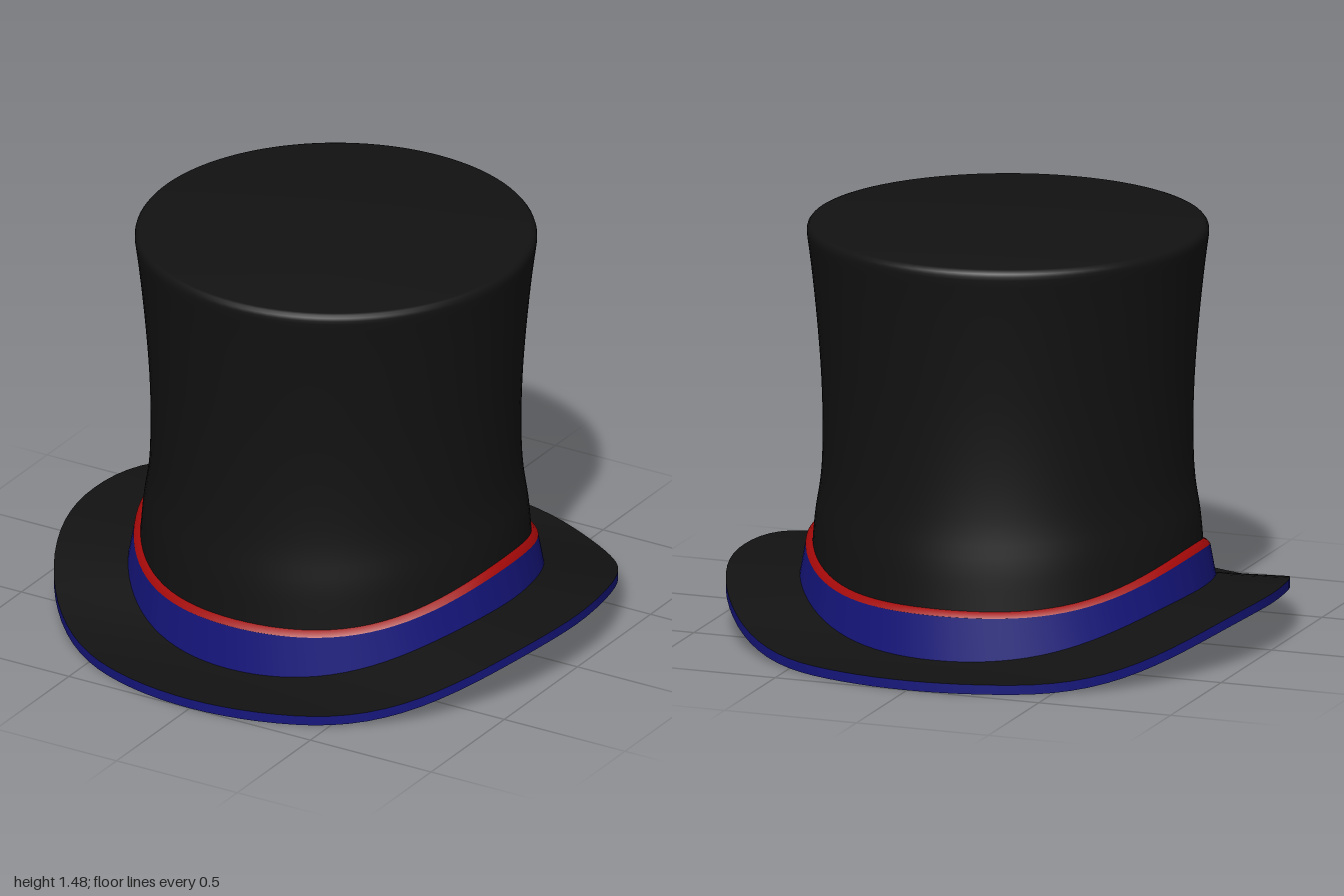
import * as THREE from 'three';
import { toCreasedNormals } from 'three/addons/utils/BufferGeometryUtils.js';

const SEGMENTS = 96;
const BRIM_T = 0.035;
const HOLE_R = 0.625;

const black = new THREE.MeshStandardMaterial({ color: 0x121212 });
const blue = new THREE.MeshStandardMaterial({ color: 0x15157c });
const red = new THREE.MeshStandardMaterial({ color: 0xa00808 });

// How far the brim curls up at the two sides
function brimLift(r, z) {
  const reach = THREE.MathUtils.mapLinear(r, 0.72, 1, 0.84, 0.93);
  const t = Math.min(1, Math.abs(z) / reach);
  return 0.17 * Math.pow(1 - Math.pow(t, 2.6), 2.2);
}

// The upper edge of the band rises a little less
function bandLift(r, x) {
  return 0.125 * Math.pow(Math.abs(x) / r, 4);
}

// Brim curl that fades out going up the crown
function crownLift(r, x, y, z) {
  return brimLift(r, z) * Math.max(0, 1 - y / 0.6);
}

// Revolve a profile of [radius, height], then raise each vertex by a rule
function bentLathe(name, profile, material, lift) {
  const points = profile.map(([r, y]) => new THREE.Vector2(r, y));
  const lathe = new THREE.LatheGeometry(points, SEGMENTS);
  const pos = lathe.attributes.position;
  for (let i = 0; i < pos.count; i++) {
    const x = pos.getX(i), y = pos.getY(i), z = pos.getZ(i);
    const r = Math.hypot(x, z);
    if (r > 0.01) pos.setY(i, y + lift(r, x, y, z));
  }
  const mesh = new THREE.Mesh(toCreasedNormals(lathe, 0.7), material);
  mesh.name = name;
  return mesh;
}

// Smooth profile through a few points
function smooth(points, count) {
  const curve = new THREE.SplineCurve(points.map(([r, y]) => new THREE.Vector2(r, y)));
  return curve.getPoints(count).map((p) => [p.x, p.y]);
}

// Flat ring profile between two radii
function ring(from, to, y, steps = 10) {
  return Array.from({ length: steps + 1 }, (_, i) => [from + ((to - from) * i) / steps, y]);
}

export function createModel() {
  const hat = new THREE.Group();
  hat.name = 'topHat';

  // Brim: black faces with a blue outer edge
  const brimRule = (r, x, y, z) => brimLift(r, z);
  hat.add(
    bentLathe('brimTop', ring(1, 0.69, BRIM_T), black, brimRule),
    bentLathe('brimUnderside', ring(HOLE_R, 1, 0), black, brimRule),
    bentLathe('brimEdge', [[1, 0], [1, BRIM_T]], blue, brimRule)
  );

  // Crown: waisted wall, rounded shoulder and flat top
  const wall = smooth([
    [0.705, 0.02], [0.692, 0.22], [0.682, 0.36], [0.664, 0.52], [0.657, 0.7],
    [0.661, 0.9], [0.675, 1.1], [0.695, 1.3], [0.713, 1.44],
  ], 28);
  const shoulder = [[0.713, 1.452], [0.71, 1.463], [0.703, 1.472], [0.692, 1.475], [0, 1.475]];
  hat.add(bentLathe('crown', [...wall, ...shoulder], black, crownLift));

  // Lining: hollow inside of the crown, facing inwards
  const lining = smooth([
    [0.655, 1.42], [0.645, 1.3], [0.622, 1.1], [0.606, 0.9], [0.6, 0.7],
    [0.604, 0.52], [0.615, 0.3], [HOLE_R, 0],
  ], 24);
  hat.add(bentLathe('lining', [[0, 1.42], ...lining], black, crownLift));

  // Band around the crown, with red trim sloping in from its upper edge
  const band = [[0.738, BRIM_T - 0.005], [0.717, 0.204]];
  const trim = [[0.717, 0.204], [0.702, 0.221], [0.68, 0.226]];
  hat.add(
    bentLathe('band', band, blue, (r, x, y, z) =>
      y < 0.1 ? brimLift(r, z) : bandLift(r, x)),
    bentLathe('bandTrim', trim, red, (r, x) => bandLift(r, x))
  );

  return hat;
}
